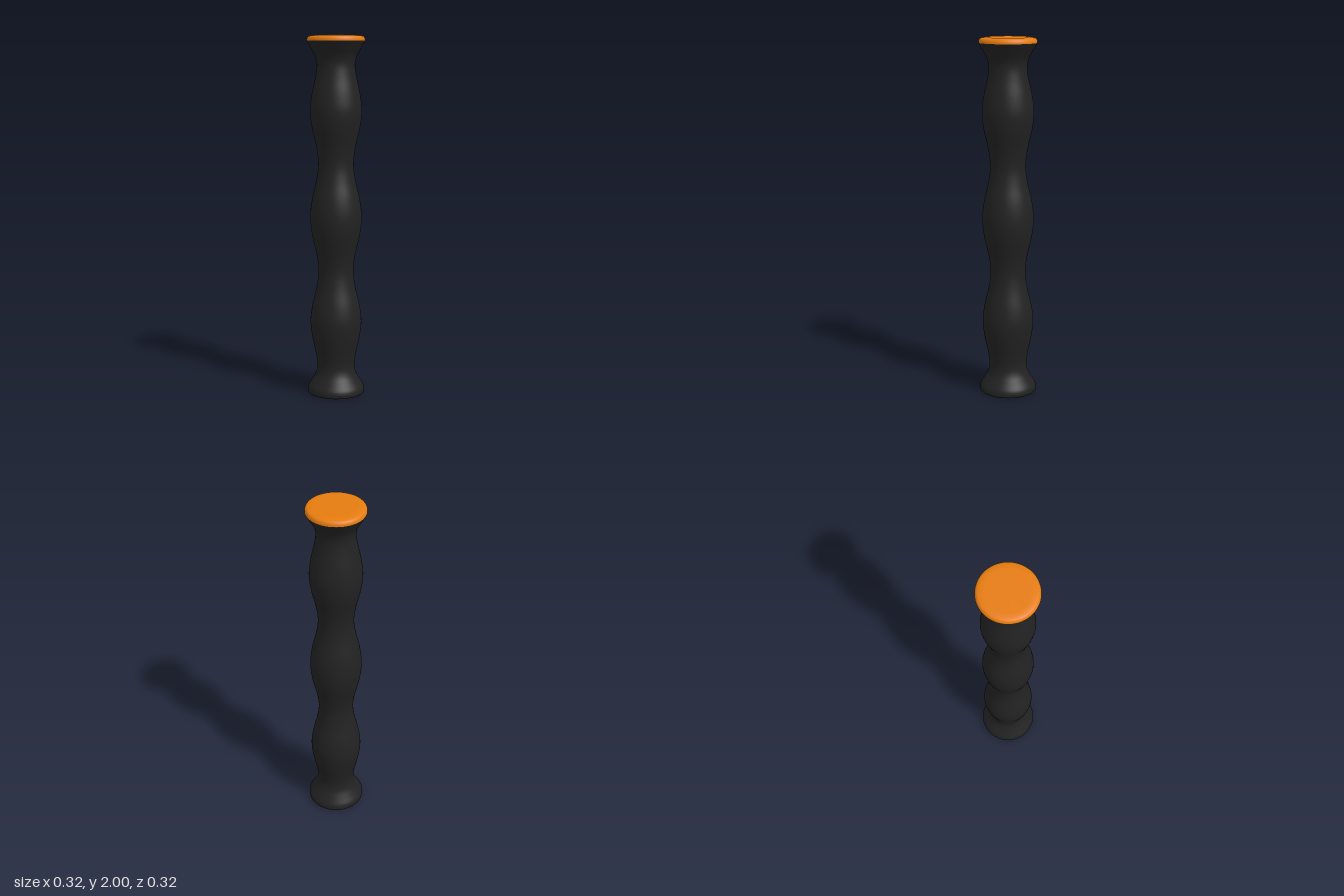
import * as THREE from 'three';

const SIDES = 64;

// Smooth curve through [radius, height] points
function smooth(points, divisions) {
  return new THREE.SplineCurve(points.map(([r, y]) => new THREE.Vector2(r, y))).getPoints(divisions);
}

function lathe(name, profile, material) {
  const mesh = new THREE.Mesh(new THREE.LatheGeometry(profile, SIDES), material);
  mesh.name = name;
  return mesh;
}

// Flat disc closing an end; dir is +1 for facing up, -1 for facing down
function disc(name, radius, y, dir, material) {
  const mesh = new THREE.Mesh(new THREE.CircleGeometry(radius, SIDES), material);
  mesh.rotation.x = -dir * Math.PI / 2;
  mesh.position.y = y;
  mesh.name = name;
  return mesh;
}

export function createModel() {
  const black = new THREE.MeshStandardMaterial({ color: 0x222222 });
  black.name = 'black grip';
  const orange = new THREE.MeshStandardMaterial({ color: 0xe67c10 });
  orange.name = 'orange cap';

  const group = new THREE.Group();
  group.name = 'wavyHandle';

  // Grip: flared ends, three bulges and two waists
  const grip = smooth([
    [0.16, 0.02], [0.155, 0.04], [0.134, 0.075], [0.113, 0.115], [0.105, 0.16],
    [0.113, 0.225], [0.133, 0.32], [0.143, 0.41], [0.133, 0.5], [0.108, 0.61],
    [0.098, 0.7], [0.108, 0.79], [0.133, 0.9], [0.143, 1], [0.133, 1.1], [0.108, 1.21],
    [0.098, 1.295], [0.108, 1.39], [0.133, 1.5], [0.143, 1.59], [0.133, 1.68],
    [0.113, 1.775], [0.105, 1.84], [0.113, 1.885], [0.134, 1.925], [0.155, 1.96], [0.16, 1.97],
  ], 130);
  group.add(lathe('grip', grip, black));

  // Rounded foot edge and underside
  group.add(lathe('footEdge', smooth([[0.152, 0], [0.158, 0.006], [0.16, 0.02]], 8), black));
  group.add(disc('underside', 0.152, 0, -1, black));

  // Rounded end cap
  const cap = smooth([[0.16, 1.97], [0.159, 1.98], [0.154, 1.99], [0.145, 1.996], [0.125, 1.9995], [0.11, 2]], 20);
  group.add(lathe('capEdge', cap, orange));
  group.add(disc('capTop', 0.11, 2, 1, orange));

  return group;
}
